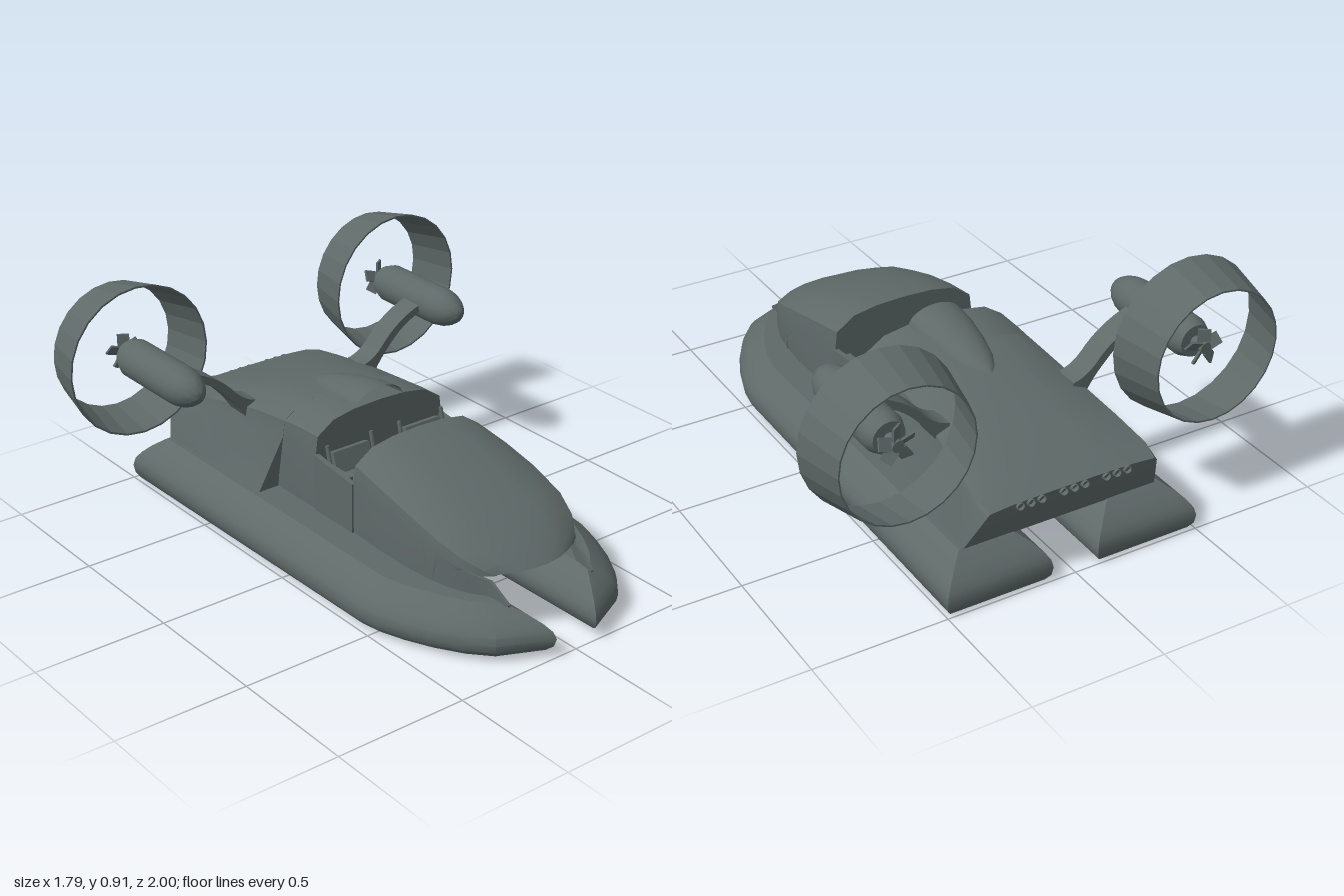
import * as THREE from 'three';
import { toCreasedNormals } from 'three/addons/utils/BufferGeometryUtils.js';

const hullGrey = new THREE.MeshStandardMaterial({ color: 0x5e6968, side: THREE.DoubleSide });
hullGrey.name = 'hullGrey';

function add(parent, name, geometry, x = 0, y = 0, z = 0) {
  const mesh = new THREE.Mesh(geometry, hullGrey);
  mesh.name = name;
  mesh.position.set(x, y, z);
  parent.add(mesh);
  return mesh;
}

// Skin closed rings of [x, y, z] points, optionally capping both ends
function loft(rings, caps = true, crease = 0.5) {
  const n = rings[0].length, pos = rings.flat(2), idx = [];
  for (let i = 0; i < rings.length - 1; i++) {
    for (let j = 0; j < n; j++) {
      const a = i * n + j, b = i * n + (j + 1) % n;
      idx.push(a, a + n, b, b, a + n, b + n);
    }
  }
  if (caps) {
    [0, rings.length - 1].forEach((r, end) => {
      const c = pos.length / 3;
      for (let k = 0; k < 3; k++) pos.push(rings[r].reduce((s, p) => s + p[k], 0) / n);
      for (let j = 0; j < n; j++) {
        const a = r * n + j, b = r * n + (j + 1) % n;
        idx.push(c, end ? b : a, end ? a : b);
      }
    });
  }
  const g = new THREE.BufferGeometry();
  g.setAttribute('position', new THREE.Float32BufferAttribute(pos, 3));
  g.setIndex(idx);
  return toCreasedNormals(g, crease);
}

// Cabin cross-section: base width, shoulder width and height, roof height
function cabinRing({ z, w, ys, yt, wb = w, zb = z, bend = 0 }) {
  const h = yt - ys;
  const half = [[wb, 0.172], [w, ys], [0.97 * w, ys + 0.5 * h], [0.72 * w, ys + 0.85 * h], [0.4 * w, ys + 0.97 * h]];
  const pts = [...half, [0, yt], ...half.map(([x, y]) => [-x, y]).reverse()];
  return pts.map(([x, y]) => [x, y, y < 0.18 ? zb : z - bend * (x / w) ** 2]);
}

// Plan outline moved inwards with mitred corners
function inset(outline, d) {
  const n = outline.length;
  const normal = (a, b) => {
    const dx = b[0] - a[0], dz = b[1] - a[1], l = Math.hypot(dx, dz);
    return [dz / l, -dx / l];
  };
  return outline.map((p, i) => {
    const m = normal(outline[(i + n - 1) % n], p), q = normal(p, outline[(i + 1) % n]);
    const k = d / (1 + m[0] * q[0] + m[1] * q[1]);
    return [p[0] + k * (m[0] + q[0]), p[1] + k * (m[1] + q[1])];
  });
}

function makeFloat() {
  const outline = [[0.09, -1], [0.09, 1], [0.28, 0.91], [0.35, 0.83], [0.41, 0.73], [0.455, 0.63], [0.485, 0.54], [0.5, 0.45], [0.5, -1]];
  // [inset, height] from the deck down and into the recessed underside
  const profile = [[0.1, 0.178], [0.055, 0.143], [0.025, 0.112], [0.007, 0.085], [0, 0.055], [0.005, 0.022], [0.02, 0], [0.09, 0], [0.09, 0.06]];
  return loft(profile.map(([d, y]) => inset(outline, d).map(([x, z]) =>
    [x, y + 0.012 * (z + 1) * (1 - y / 0.18), z])));
}

function makeEngine() {
  const engine = new THREE.Group();
  engine.name = 'engine';
  const cx = 0.6, cy = 0.622;

  // Thin tapered duct: closed wall profile of [radius, distance backwards]
  const duct = [[0.286, 0.73], [0.293, 0.73], [0.251, 0.925], [0.245, 0.925], [0.286, 0.73]].map(p => new THREE.Vector2(...p));
  const ductGeo = toCreasedNormals(new THREE.LatheGeometry(duct, 24).rotateX(-Math.PI / 2), 0.2);
  add(engine, 'ductRing', ductGeo, cx, cy, 0);

  // Bullet-shaped motor pod
  const pod = [[0, 0.33], [0.018, 0.335], [0.04, 0.355], [0.056, 0.38], [0.068, 0.41], [0.075, 0.45], [0.075, 0.76], [0.06, 0.8], [0, 0.8]];
  const podGeo = new THREE.LatheGeometry(pod.map(p => new THREE.Vector2(...p)), 24).rotateX(-Math.PI / 2);
  add(engine, 'motorPod', toCreasedNormals(podGeo, 0.6), cx, cy, 0);

  // Small propeller behind the pod
  add(engine, 'propellerHub', new THREE.CylinderGeometry(0.022, 0.022, 0.07, 12).rotateX(Math.PI / 2), cx, cy, -0.825);
  for (let i = 0; i < 5; i++) {
    const blade = new THREE.BoxGeometry(0.045, 0.05, 0.008).rotateY(0.6).translate(0, 0.043, 0).rotateZ(i * Math.PI * 0.4);
    add(engine, 'propellerBlade', blade, cx, cy, -0.845);
  }

  // Curved strut down to the shoulder of the hull
  const s = new THREE.Shape();
  s.moveTo(0.25, 0.45);
  s.quadraticCurveTo(0.31, 0.46, 0.36, 0.525);
  s.quadraticCurveTo(0.43, 0.6, 0.54, 0.635);
  s.lineTo(0.54, 0.605);
  s.quadraticCurveTo(0.44, 0.57, 0.38, 0.5);
  s.quadraticCurveTo(0.33, 0.45, 0.3, 0.395);
  s.lineTo(0.25, 0.4);
  const strut = new THREE.ExtrudeGeometry(s, { depth: 0.095, bevelEnabled: false, curveSegments: 6 });
  add(engine, 'strut', toCreasedNormals(strut, 0.5), 0, 0, -0.59);
  return engine;
}

export function createModel() {
  const model = new THREE.Group();
  model.name = 'twinHullCraft';

  // Floats, engines and side fittings on both sides
  for (const side of [1, -1]) {
    const half = new THREE.Group();
    half.name = side > 0 ? 'leftSide' : 'rightSide';
    half.scale.x = side;
    add(half, 'float', makeFloat());
    half.add(makeEngine());

    // Cockpit sill, seat and levers
    const sill = new THREE.Shape([[-0.15, 0.172], [0.07, 0.172], [0.07, 0.4], [-0.15, 0.37]].map(p => new THREE.Vector2(...p)));
    const sillGeo = new THREE.ExtrudeGeometry(sill, { depth: 0.02, bevelEnabled: false });
    add(half, 'cockpitSill', sillGeo.rotateY(Math.PI / 2), 0.277, 0, 0);
    add(half, 'seatCushion', new THREE.BoxGeometry(0.16, 0.05, 0.1), 0.165, 0.315, 0.06);
    add(half, 'seatBack', new THREE.BoxGeometry(0.16, 0.13, 0.03), 0.165, 0.345, -0.02).rotation.x = -0.3;
    for (const x of [0.065, 0.262]) {
      add(half, 'armRest', new THREE.BoxGeometry(0.016, 0.02, 0.12), x, 0.36, 0.04);
      add(half, 'lever', new THREE.CylinderGeometry(0.008, 0.008, 0.08, 8), x, 0.4, -0.03).rotation.x = -0.25;
    }

    // Curved skirt flanking the nose opening: [x, z, top]
    add(half, 'noseSkirt', loft([
      [0.195, 0.87, 0.178], [0.203, 0.785, 0.236], [0.245, 0.72, 0.257], [0.275, 0.64, 0.28], [0.292, 0.54, 0.305],
    ].map(([x, z, y]) => [[x, 0.172, z], [x, y, z], [x - 0.012, y, z], [x - 0.012, 0.172, z]])));
    model.add(half);
  }
  add(model, 'cockpitFloor', new THREE.BoxGeometry(0.57, 0.11, 0.23), 0, 0.235, 0.04);

  // Front hood with an undercut nose
  add(model, 'hood', loft([
    { z: 0.84, w: 0.18, wb: 0.18, ys: 0.245, yt: 0.255, zb: 0.62, bend: 0.06 },
    { z: 0.8, w: 0.215, wb: 0.24, ys: 0.248, yt: 0.285, zb: 0.61, bend: 0.045 },
    { z: 0.71, w: 0.26, wb: 0.27, ys: 0.265, yt: 0.337, zb: 0.6, bend: 0.02 },
    { z: 0.6, w: 0.288, wb: 0.285, ys: 0.292, yt: 0.385, zb: 0.58 },
    { z: 0.45, w: 0.298, ys: 0.325, yt: 0.438 },
    { z: 0.3, w: 0.297, ys: 0.348, yt: 0.481 },
    { z: 0.15, w: 0.29, ys: 0.37, yt: 0.51 },
  ].map(cabinRing)));

  // Roof behind the cockpit, then the flared rear body
  add(model, 'rearCabin', loft([
    { z: -0.07, w: 0.29, ys: 0.4, yt: 0.535 },
    { z: -0.18, w: 0.29, ys: 0.4, yt: 0.531 },
    { z: -0.27, zb: -0.32, w: 0.291, ys: 0.395, yt: 0.521 },
  ].map(cabinRing)));
  add(model, 'rearBody', loft([
    { z: -0.27, zb: -0.31, w: 0.292, wb: 0.38, ys: 0.395, yt: 0.521 },
    { z: -0.45, w: 0.3, wb: 0.38, ys: 0.385, yt: 0.495 },
    { z: -0.6, w: 0.312, wb: 0.38, ys: 0.37, yt: 0.461 },
    { z: -0.75, w: 0.33, wb: 0.382, ys: 0.355, yt: 0.42 },
    { z: -0.9, zb: -0.87, w: 0.347, wb: 0.385, ys: 0.336, yt: 0.372 },
    { z: -0.97, zb: -0.9, w: 0.335, wb: 0.385, ys: 0.325, yt: 0.343 },
  ].map(cabinRing)));

  // Tapering spine intake on the roof: [z, half width, base, top]
  add(model, 'spineIntake', loft([
    [-0.07, 0.11, 0.52, 0.587], [-0.16, 0.105, 0.515, 0.58], [-0.26, 0.092, 0.5, 0.561],
    [-0.36, 0.07, 0.485, 0.533], [-0.42, 0.045, 0.475, 0.51], [-0.46, 0.01, 0.465, 0.49],
  ].map(([z, w, y0, y1]) => Array.from({ length: 13 }, (_, i) => {
    const a = i / 12 * Math.PI;
    return [w * Math.cos(a), y0 + (y1 - y0) * Math.sin(a), z];
  })), false));

  // Three clusters of exhaust nozzles under the rear roof edge
  for (const cluster of [-0.17, 0, 0.17]) {
    for (const dx of [-0.042, 0, 0.042]) {
      const nozzle = new THREE.CylinderGeometry(0.017, 0.014, 0.03, 10, 1, true).rotateX(Math.PI / 2);
      add(model, 'exhaustNozzle', nozzle, cluster + dx, 0.328, -0.963);
    }
  }
  return model;
}
